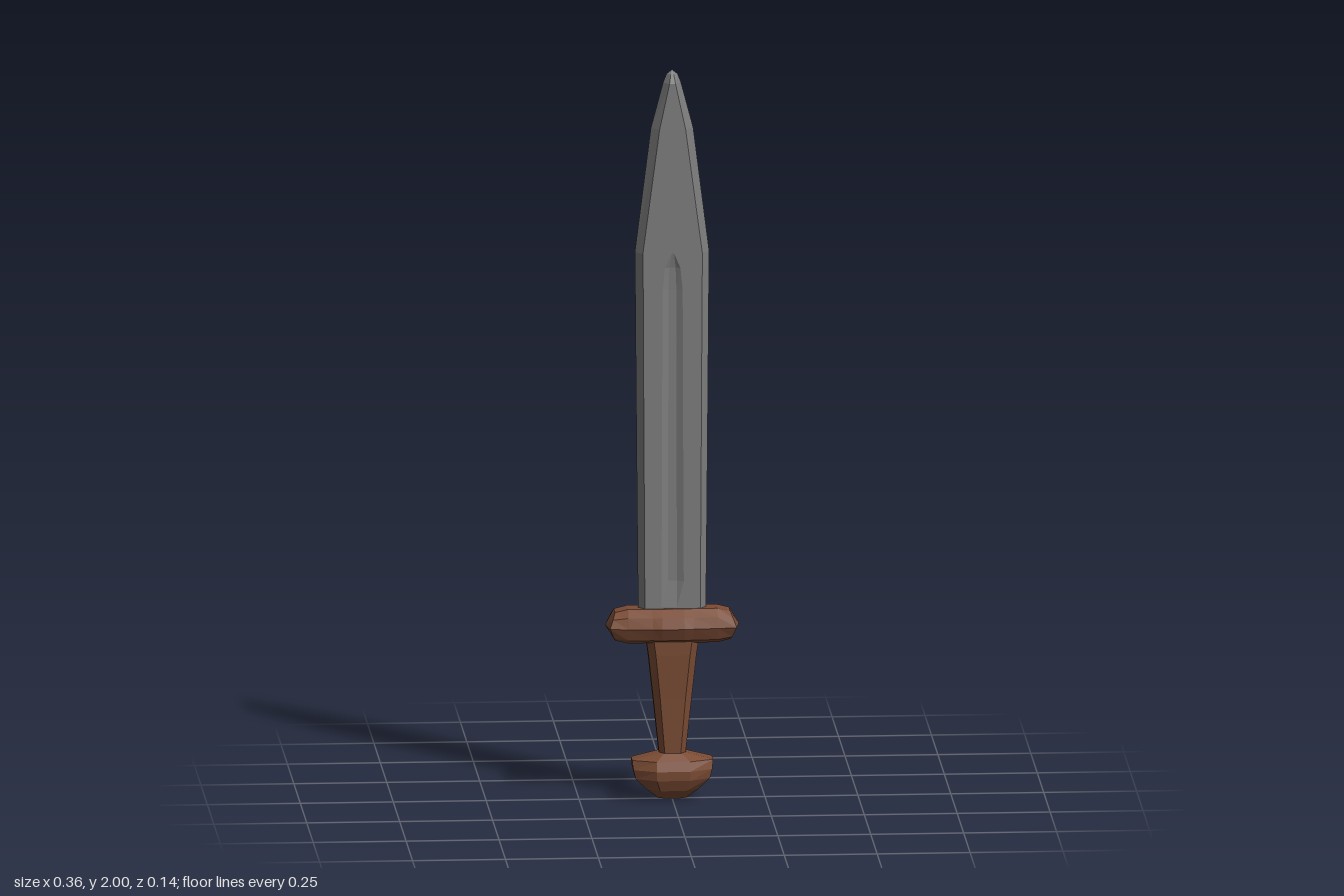
import * as THREE from 'three';

const steel = new THREE.MeshStandardMaterial({ color: 0x7d7d7d, flatShading: true });
steel.name = 'steel';
const wood = new THREE.MeshStandardMaterial({ color: 0x7a4b34, flatShading: true });
wood.name = 'wood';

// Skins a list of rings (each an array of [x, y, z]) and closes both ends with fans
function loft(name, rings, startTip, endTip, material) {
  const pos = [];
  const tri = (a, b, c) => pos.push(...a, ...b, ...c);
  const n = rings[0].length;
  for (let j = 0; j < n; j++) {
    const k = (j + 1) % n;
    for (let i = 0; i < rings.length - 1; i++) {
      const lo = rings[i], hi = rings[i + 1];
      tri(lo[j], lo[k], hi[k]);
      tri(lo[j], hi[k], hi[j]);
    }
    const first = rings[0], last = rings[rings.length - 1];
    tri(startTip, first[k], first[j]);
    tri(endTip, last[j], last[k]);
  }
  const geometry = new THREE.BufferGeometry();
  geometry.setAttribute('position', new THREE.Float32BufferAttribute(pos, 3));
  geometry.computeVertexNormals();
  const mesh = new THREE.Mesh(geometry, material);
  mesh.name = name;
  return mesh;
}

// Octagon at height y: half sizes x, z; inner corners at fx, fz
const octagon = ([y, x, z, fx, fz]) => [
  [x, y, fz], [x, y, -fz], [fx, y, -z], [-fx, y, -z],
  [-x, y, -fz], [-x, y, fz], [-fx, y, z], [fx, y, z],
];

// Blade section: half width w, flat half width f, half thickness t, groove half width g, depth d
function bladeRing([y, w, f, t, g, d]) {
  const h = g * 0.4, q = t - d;
  return [
    [w, y, 0], [f, y, -t], [g, y, -t], [h, y, -q], [-h, y, -q], [-g, y, -t], [-f, y, -t],
    [-w, y, 0], [-f, y, t], [-g, y, t], [-h, y, q], [h, y, q], [g, y, t], [f, y, t],
  ];
}

export function createModel() {
  const sword = new THREE.Group();
  sword.name = 'sword';

  // Blade with bevelled edges and a central groove on both faces
  const bladeRows = [
    [0.5, 0.092, 0.075, 0.025, 0.03, 0],
    [0.53, 0.092, 0.075, 0.025, 0.03, 0],
    [0.6, 0.092, 0.075, 0.025, 0.03, 0.008],
    [0.8, 0.094, 0.076, 0.025, 0.029, 0.008],
    [1.15, 0.097, 0.078, 0.025, 0.028, 0.008],
    [1.4, 0.099, 0.079, 0.025, 0.027, 0.008],
    [1.46, 0.1, 0.08, 0.025, 0.021, 0.007],
    [1.5, 0.1, 0.08, 0.025, 0.004, 0],
    [1.84, 0.057, 0.035, 0.025, 0.002, 0],
    [1.965, 0.024, 0.008, 0.023, 0.001, 0],
    [1.988, 0.015, 0.004, 0.011, 0.001, 0],
  ];
  sword.add(loft('blade', bladeRows.map(bladeRing), [0, 0.5, 0], [0, 2, 0], steel));

  // Cross guard: octagonal section swept along x, ends bulging outward
  const section = [
    [0.525, 0.03], [0.505, 0.054], [0.476, 0.064], [0.443, 0.05], [0.432, 0.03],
    [0.432, -0.03], [0.443, -0.05], [0.476, -0.064], [0.505, -0.054], [0.525, -0.03],
  ];
  const guardRing = ([x, sy, sz, bulge]) => section.map(([y, z]) => [
    x + Math.sign(x) * bulge * Math.max(0, 1 - Math.abs(y - 0.478) / 0.047),
    0.478 + (y - 0.478) * sy, z * sz,
  ]);
  const half = [[0.03, 1, 1.06, 0], [0.055, 1, 1, 0], [0.12, 1, 0.93, 0], [0.155, 0.82, 0.87, 0.016]];
  const stations = [...half.map(([x, ...r]) => [-x, ...r]).reverse(), ...half];
  sword.add(loft('crossGuard', stations.map(guardRing), [-0.18, 0.478, 0], [0.18, 0.478, 0], wood));

  // Tapered grip
  const gripRows = [
    [0.11, 0.034, 0.032, 0.02, 0.014],
    [0.28, 0.052, 0.035, 0.034, 0.016],
    [0.4, 0.065, 0.041, 0.046, 0.018],
    [0.445, 0.072, 0.041, 0.052, 0.018],
  ];
  sword.add(loft('grip', gripRows.map(octagon), [0, 0.11, 0], [0, 0.445, 0], wood));

  // Faceted pommel, wide at the top and rounded below
  const pommelRows = [
    [0.004, 0.038, 0.026, 0.02, 0.014],
    [0.03, 0.07, 0.054, 0.035, 0.026],
    [0.06, 0.1, 0.066, 0.045, 0.032],
    [0.085, 0.106, 0.067, 0.045, 0.034],
    [0.11, 0.109, 0.056, 0.045, 0.026],
    [0.129, 0.038, 0.034, 0.024, 0.018],
  ];
  sword.add(loft('pommel', pommelRows.map(octagon), [0, 0, 0], [0, 0.13, 0], wood));

  return sword;
}
